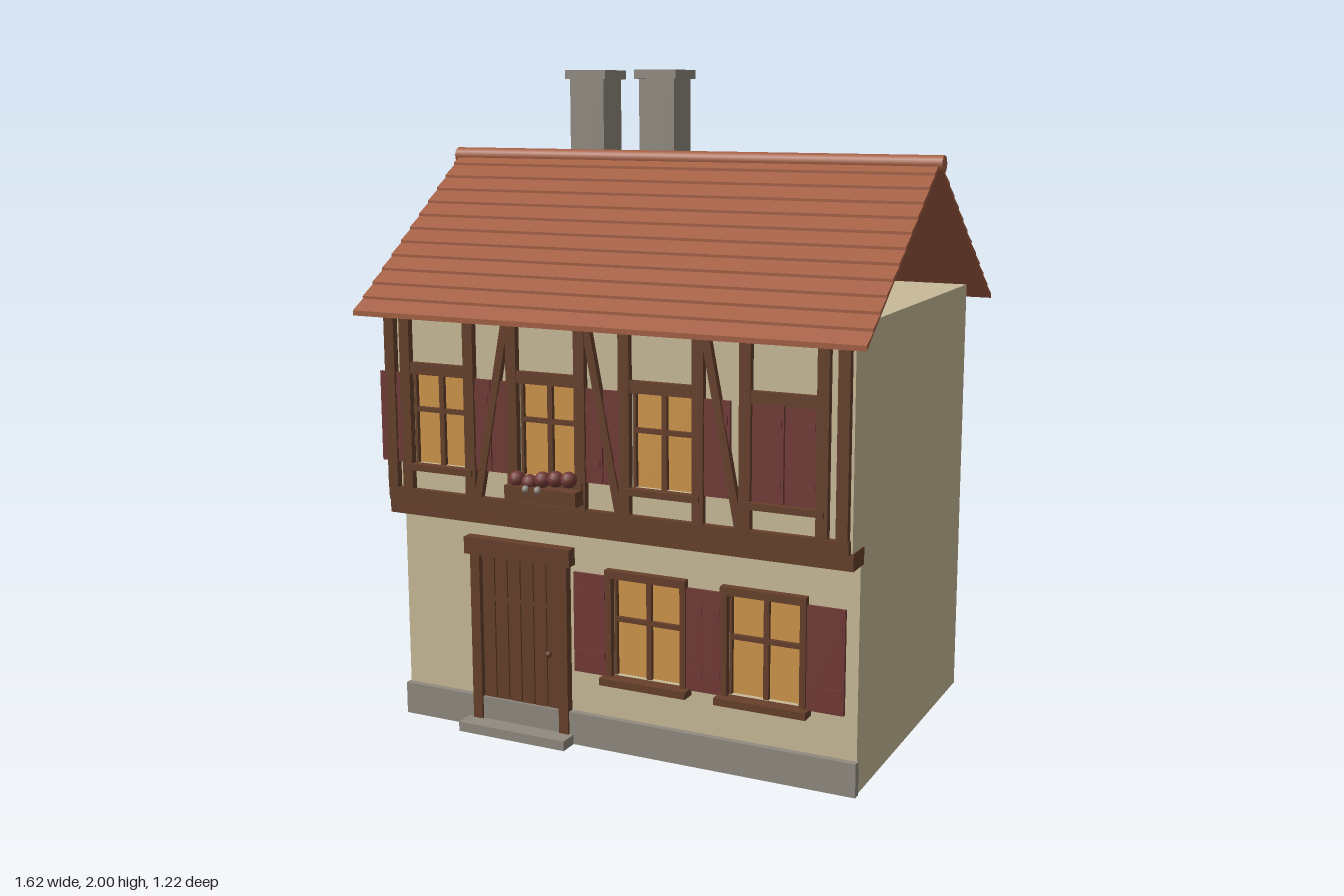
import * as THREE from 'three';

const mat = (name, color) => {
  const m = new THREE.MeshStandardMaterial({ color });
  m.name = name;
  return m;
};

export function createModel() {
  const house = new THREE.Group();
  house.name = 'timberHouse';
  const plaster = mat('plaster', 0xc8ba98);
  const timber = mat('timber', 0x66402b);
  const tile = mat('roofTile', 0xa35e42);
  const stone = mat('stone', 0x908a7f);
  const red = mat('shutterRed', 0x713a36);
  const glass = mat('warmGlass', 0xcf954a);

  const add = (name, geo, m, parent = house) => {
    const mesh = new THREE.Mesh(geo, m);
    mesh.name = name;
    parent.add(mesh);
    return mesh;
  };
  // Box given by its limits on each axis
  const box = (name, m, x0, x1, y0, y1, z0, z1, parent = house) => {
    const mesh = add(name, new THREE.BoxGeometry(x1 - x0, y1 - y0, z1 - z0), m, parent);
    mesh.position.set((x0 + x1) / 2, (y0 + y1) / 2, (z0 + z1) / 2);
    return mesh;
  };
  const group = (name) => {
    const g = new THREE.Group();
    g.name = name;
    house.add(g);
    return g;
  };
  const rect = (T, x0, x1, y0, y1) => new T([
    new THREE.Vector2(x0, y0), new THREE.Vector2(x1, y0),
    new THREE.Vector2(x1, y1), new THREE.Vector2(x0, y1)]);

  const W = 0.743, LOW = 0.455, UP = 0.524, SKIN = 0.025;
  const lowX = [0.095, 0.465], upX = [-0.558, -0.187, 0.18];

  // Walls: solid cores with a pierced front skin
  const wall = (name, y0, y1, z, xs, hw, h0, h1) => {
    box(name + 'Core', plaster, -W, W, y0, y1, -0.52, z - SKIN);
    const s = rect(THREE.Shape, -W, W, y0, y1);
    xs.forEach((x) => s.holes.push(rect(THREE.Path, x - hw, x + hw, h0, h1)));
    add(name + 'Front', new THREE.ExtrudeGeometry(s, { depth: SKIN, bevelEnabled: false }), plaster)
      .position.z = z - SKIN;
  };
  wall('lowerWall', 0, 0.714, LOW, lowX, 0.113, 0.233, 0.54);
  wall('upperWall', 0.714, 1.33, UP, upX, 0.096, 0.83, 1.105);

  // Glass and its glazing bars
  const glazing = (g, x, hw, y0, y1, yBar, z) => {
    box('glass', glass, x - hw, x + hw, y0, y1, z - SKIN, z - SKIN + 0.006, g);
    const a = z - SKIN, b = z - 0.006;
    box('verticalBar', timber, x - 0.008, x + 0.008, y0, y1, a, b, g);
    box('crossBar', timber, x - hw, x + hw, yBar - 0.007, yBar + 0.007, a, b, g);
    for (const s of [-1, 1]) {
      const c = x + s * (hw - 0.004);
      box('sash', timber, c - 0.004, c + 0.004, y0, y1, a, b, g);
    }
  };
  // Shutter leaf with two thin battens
  const shutter = (g, x0, x1, y0, y1, z) => {
    box('shutter', red, x0, x1, y0, y1, z + 0.001, z + 0.012, g);
    for (const t of [0.2, 0.8]) {
      const y = y0 + (y1 - y0) * t;
      box('shutterBatten', red, x0 + 0.006, x1 - 0.006, y - 0.012, y + 0.012, z + 0.012, z + 0.016, g);
    }
  };

  // Ground floor windows
  for (const x of lowX) {
    const g = group('lowerWindow');
    glazing(g, x, 0.113, 0.233, 0.54, 0.405, LOW);
    for (const s of [-1, 1]) {
      const c = x + s * 0.12;
      box('windowFrame', timber, c - 0.009, c + 0.009, 0.23, 0.54, LOW, LOW + 0.02, g);
    }
    box('windowHead', timber, x - 0.13, x + 0.13, 0.536, 0.56, LOW, LOW + 0.025, g);
    box('windowSill', timber, x - 0.14, x + 0.14, 0.212, 0.234, LOW, LOW + 0.045, g);
  }
  [[-0.145, -0.034], [0.224, 0.28], [0.28, 0.336], [0.594, 0.706]].forEach(([a, b]) =>
    shutter(house, a, b, 0.23, 0.536, LOW));

  // Upper windows, the last one closed by its shutters
  for (const x of [...upX, 0.548]) {
    const g = group('upperWindow');
    if (x < 0.5) glazing(g, x, 0.096, 0.83, 1.105, 0.995, UP);
    else {
      shutter(g, x - 0.094, x - 0.002, 0.832, 1.105, UP);
      shutter(g, x + 0.002, x + 0.094, 0.832, 1.105, UP);
    }
    box('windowHead', timber, x - 0.096, x + 0.096, 1.105, 1.14, UP, UP + 0.018, g);
    box('windowSill', timber, x - 0.12, x + 0.12, 0.812, 0.832, UP, UP + 0.028, g);
  }
  [[-0.763, -0.66], [-0.455, -0.377], [-0.373, -0.29], [-0.085, -0.007], [-0.003, 0.075], [0.285, 0.388]]
    .forEach(([a, b]) => shutter(house, a, b, 0.832, 1.105, UP));

  // Timber framing
  box('jettyBeam', timber, -0.747, 0.747, 0.667, 0.716, 0.44, UP + 0.002);
  box('sillBeam', timber, -0.738, 0.738, 0.714, 0.752, UP, UP + 0.02);
  [-0.722, -0.668, -0.446, -0.3, -0.076, 0.066, 0.294, 0.435, 0.66, 0.718].forEach((x) =>
    box('post', timber, x - 0.017, x + 0.017, 0.75, 1.31, UP, UP + 0.021));
  [[-0.315, -0.422], [-0.058, 0.048], [0.312, 0.418]].forEach(([top, foot]) => {
    const s = new THREE.Shape([[foot - 0.012, 0.75], [foot + 0.012, 0.75], [top + 0.012, 1.3], [top - 0.012, 1.3]]
      .map((p) => new THREE.Vector2(...p)));
    add('brace', new THREE.ExtrudeGeometry(s, { depth: 0.02, bevelEnabled: false }), timber).position.z = UP;
  });

  // Flower box
  const flowers = group('flowerBox');
  box('planter', timber, -0.3, -0.065, 0.768, 0.812, UP + 0.015, 0.592, flowers);
  for (let i = 0; i < 5; i++) {
    add('flower', new THREE.SphereGeometry(0.024, 12, 8), red, flowers)
      .position.set(-0.272 + i * 0.043, 0.822 + [0.006, 0, 0.012, 0.018, 0.02][i], 0.566);
  }
  for (const x of [-0.23, -0.19]) {
    add('paleBud', new THREE.SphereGeometry(0.012, 8, 6), stone, flowers).position.set(x, 0.806, 0.588);
  }

  // Door, plinth and step
  const door = group('door');
  for (let i = 0; i < 6; i++) {
    const x = -0.463 + i * 0.045;
    box('plank', timber, x + 0.002, x + 0.043, 0.1, 0.555, LOW, LOW + 0.012, door);
  }
  box('doorBacking', timber, -0.463, -0.193, 0.1, 0.555, LOW, LOW + 0.006, door);
  box('doorRail', timber, -0.46, -0.196, 0.41, 0.425, LOW, LOW + 0.014, door);
  add('knob', new THREE.SphereGeometry(0.01, 10, 8), timber, door).position.set(-0.23, 0.27, LOW + 0.018);
  for (const x of [-0.479, -0.177]) box('doorPost', timber, x - 0.016, x + 0.016, 0.03, 0.556, LOW, LOW + 0.027, door);
  box('doorLintel', timber, -0.51, -0.146, 0.555, 0.608, LOW, LOW + 0.036, door);
  box('plinth', stone, -0.747, 0.747, 0, 0.1, LOW - 0.005, LOW + 0.02);
  box('doorStep', stone, -0.515, -0.147, 0, 0.03, LOW, 0.535);

  // Roof slopes: a stepped profile of overlapping tile courses
  const N = 12, run = 0.61, top = 1.735, drop = 0.45;
  const at = (t, off) => new THREE.Vector2(run * t, top - drop * t + off);
  const profile = [at(0, -0.008), at(1, -0.005)];
  for (let i = N; i > 0; i--) profile.push(at(i / N, 0.01), at((i - 1) / N, 0.002));
  const slope = new THREE.ExtrudeGeometry(new THREE.Shape(profile), { depth: 1.6, bevelEnabled: false });
  slope.rotateY(-Math.PI / 2).translate(0.8, 0, 0);
  add('frontRoof', slope, tile);
  add('backRoof', slope, tile).rotation.y = Math.PI;
  const ridge = add('ridge', new THREE.CylinderGeometry(0.025, 0.025, 1.624, 12), tile);
  ridge.rotation.z = Math.PI / 2;
  ridge.position.y = 1.73;

  // Chimneys with open caps
  for (const x of [-0.429, -0.179]) {
    const g = group('chimney');
    box('stack', stone, x - 0.061, x + 0.061, 1.33, 1.974, -0.288, -0.166, g);
    const s = rect(THREE.Shape, -0.073, 0.073, -0.073, 0.073);
    s.holes.push(rect(THREE.Path, -0.038, 0.038, -0.038, 0.038));
    const cap = add('cap', new THREE.ExtrudeGeometry(s, { depth: 0.028, bevelEnabled: false }), stone, g);
    cap.rotation.x = -Math.PI / 2;
    cap.position.set(x, 1.972, -0.227);
    box('flue', timber, x - 0.038, x + 0.038, 1.974, 1.982, -0.265, -0.189, g);
  }
  return house;
}
